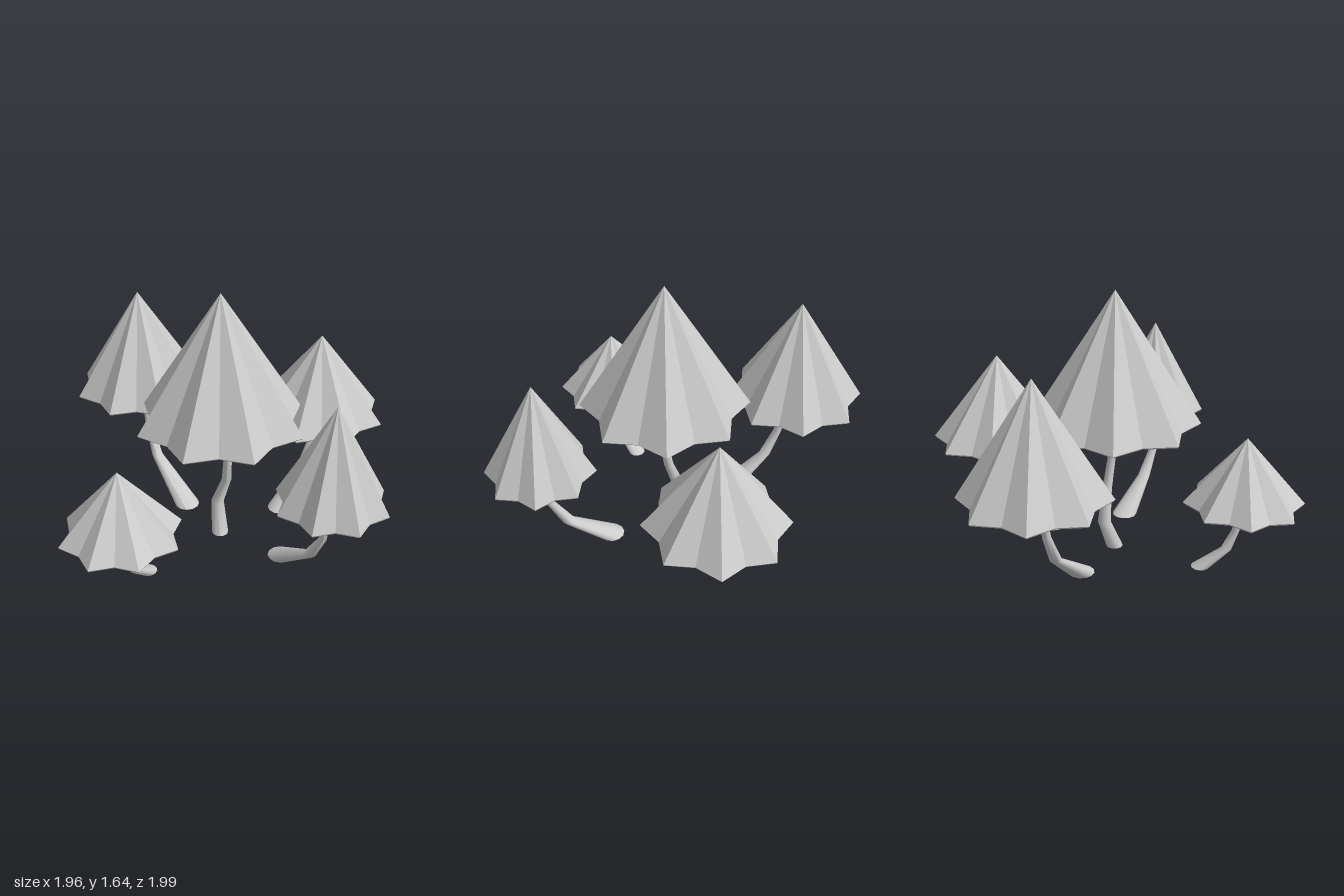
import * as THREE from 'three';

const capMaterial = new THREE.MeshStandardMaterial({ color: 0xcccccc, flatShading: true });
const stemMaterial = new THREE.MeshStandardMaterial({ color: 0xcccccc });

// Pleated cone: a 16-sided lathe whose even columns are pulled inwards to an 8-pointed star
function makeCap(radius, rim, apex) {
  const h = apex - rim;
  const profile = [
    [0, rim + 0.22 * h], [0.55 * radius, rim + 0.19 * h], [0.98 * radius, rim],
    [radius, rim + 0.01], [0, apex],
  ].map(([x, y]) => new THREE.Vector2(x, y));
  const geo = new THREE.LatheGeometry(profile, 16);
  const pos = geo.attributes.position;
  for (let i = 0; i < pos.count; i++) {
    const column = Math.floor(i / profile.length);
    const k = column % 2 ? 1 : 0.82;
    pos.setX(i, pos.getX(i) * k);
    pos.setZ(i, pos.getZ(i) * k);
  }
  geo.computeVertexNormals();
  const mesh = new THREE.Mesh(geo, capMaterial);
  mesh.name = 'cap';
  return mesh;
}

// Bent stem: level rings [x, y, z, radius] joined from the ground up
function makeStem(rings) {
  const sides = 12;
  const geo = new THREE.CylinderGeometry(1, 1, 1, sides, rings.length - 1, true);
  const pos = geo.attributes.position;
  for (let i = 0; i < pos.count; i++) {
    const row = Math.floor(i / (sides + 1));
    const [x, y, z, r] = rings[rings.length - 1 - row];
    pos.setXYZ(i, x + pos.getX(i) * r, y, z + pos.getZ(i) * r);
  }
  geo.computeVertexNormals();
  const stem = new THREE.Mesh(geo, stemMaterial);
  stem.name = 'stem';

  // Flat foot closing the stem at the ground
  const [x, y, z, r] = rings[0];
  const foot = new THREE.Mesh(new THREE.CircleGeometry(r, sides).rotateX(Math.PI / 2), stemMaterial);
  foot.position.set(x, y, z);
  foot.name = 'stemFoot';
  return [stem, foot];
}

const mushrooms = [
  {
    name: 'centreMushroom', x: -0.04, z: 0.065, radius: 0.519, rim: 0.82, apex: 1.64,
    stem: [[-0.05, 0, 0.065, 0.052], [-0.068, 0.19, -0.01, 0.04], [-0.01, 0.38, 0.03, 0.03],
      [0, 0.57, 0.062, 0.025], [-0.022, 0.82, 0.068, 0.023]],
  },
  {
    name: 'backRightMushroom', x: -0.587, z: -0.605, radius: 0.427, rim: 0.685, apex: 1.365,
    stem: [[-0.28, 0, -0.24, 0.08], [-0.49, 0.24, -0.465, 0.036], [-0.54, 0.42, -0.53, 0.026],
      [-0.575, 0.69, -0.58, 0.02]],
  },
  {
    name: 'backLeftMushroom', x: 0.583, z: -0.485, radius: 0.427, rim: 0.57, apex: 1.13,
    stem: [[0.34, 0, -0.21, 0.08], [0.49, 0.2, -0.39, 0.04], [0.55, 0.38, -0.465, 0.026],
      [0.573, 0.57, -0.48, 0.02]],
  },
  {
    name: 'frontRightMushroom', x: -0.585, z: 0.665, radius: 0.357, rim: 0.43, apex: 0.85,
    stem: [[-0.475, 0, 0.455, 0.056], [-0.53, 0.12, 0.595, 0.034], [-0.555, 0.25, 0.64, 0.023],
      [-0.575, 0.43, 0.66, 0.018]],
  },
  {
    name: 'frontLeftMushroom', x: 0.585, z: 0.605, radius: 0.33, rim: 0.615, apex: 1.235,
    stem: [[0.33, 0, 0.29, 0.08], [0.49, 0.18, 0.5, 0.04], [0.55, 0.37, 0.6, 0.024],
      [0.573, 0.62, 0.608, 0.018]],
  },
];

export function createModel() {
  const model = new THREE.Group();
  model.name = 'mushroomCluster';
  for (const m of mushrooms) {
    const group = new THREE.Group();
    group.name = m.name;
    const cap = makeCap(m.radius, m.rim, m.apex);
    cap.position.set(m.x, 0, m.z);
    // The stem runs on into the hollow beneath the cap
    const top = [m.x, m.rim + 0.25 * (m.apex - m.rim), m.z, 0.018];
    group.add(cap, ...makeStem([...m.stem, top]));
    model.add(group);
  }
  return model;
}
